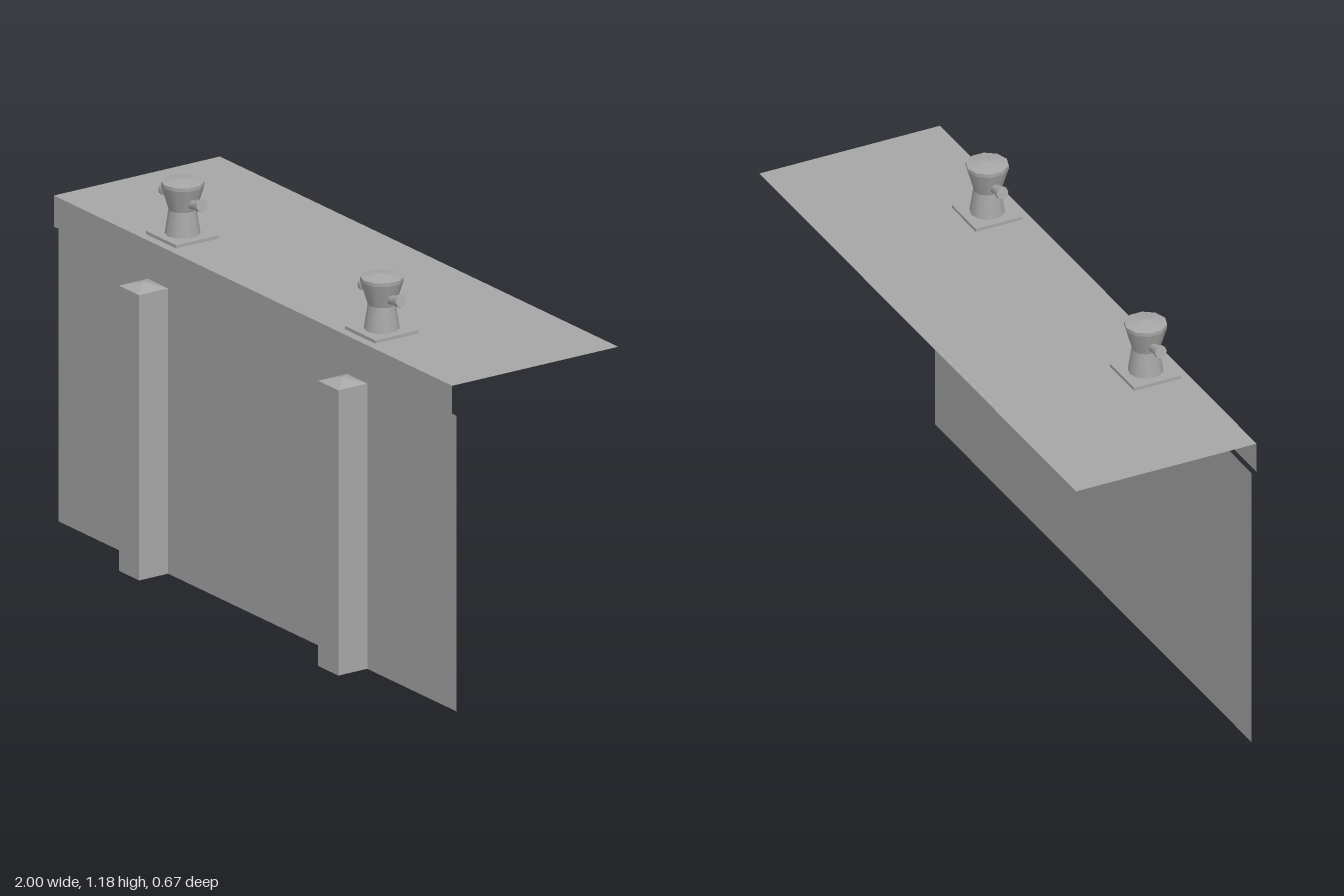
import * as THREE from 'three';

export function createModel() {
  const model = new THREE.Group();
  model.name = 'quay';
  const concrete = new THREE.MeshStandardMaterial({ color: 0xa6a6a6, side: THREE.DoubleSide });
  concrete.name = 'grey';

  function add(parent, name, geometry, x, y, z) {
    const mesh = new THREE.Mesh(geometry, concrete);
    mesh.name = name;
    mesh.position.set(x, y, z);
    parent.add(mesh);
    return mesh;
  }

  // Open sheets: deck, its front lip, and the wall set slightly back
  add(model, 'deck', new THREE.PlaneGeometry(2, 0.585).rotateX(-Math.PI / 2), 0, 1, -0.0425);
  add(model, 'deckLip', new THREE.PlaneGeometry(2, 0.095), 0, 0.9525, 0.25);
  add(model, 'wall', new THREE.PlaneGeometry(2, 0.905), 0, 0.4525, 0.234);

  // Square fender post, open underneath, with a low pyramid cap
  function fenderPost(x) {
    const post = new THREE.Group();
    post.name = 'fenderPost';
    post.position.set(x, 0, 0.285);
    const r = 0.051 * Math.SQRT2;
    const square = (top, bottom, h) =>
      new THREE.CylinderGeometry(top, bottom, h, 4, 1, true).rotateY(Math.PI / 4).toNonIndexed();
    const shaft = square(r, r, 0.873);
    const cap = square(0, r, 0.017);
    shaft.computeVertexNormals();
    cap.computeVertexNormals();
    add(post, 'postShaft', shaft, 0, 0.4365, 0);
    add(post, 'postCap', cap, 0, 0.8815, 0);
    model.add(post);
  }

  // Mooring bollard: plate, flared body, domed cap and two raised horns
  function bollard(x) {
    const group = new THREE.Group();
    group.name = 'bollard';
    group.position.set(x, 1, 0.147);
    add(group, 'basePlate', new THREE.BoxGeometry(0.152, 0.01, 0.152), 0, 0.005, 0);
    const sections = [[0.052, 0.01], [0.041, 0.085], [0.063, 0.157], [0.063, 0.168]];
    for (let i = 0; i < sections.length - 1; i++) {
      const [r0, y0] = sections[i], [r1, y1] = sections[i + 1];
      add(group, 'bollardBody', new THREE.CylinderGeometry(r1, r0, y1 - y0, 10, 1, true), 0, (y0 + y1) / 2, 0);
    }
    add(group, 'bollardCap', new THREE.ConeGeometry(0.063, 0.011, 10, 1, true), 0, 0.1735, 0);
    for (const side of [1, -1]) {
      const horn = new THREE.Group();
      horn.name = 'horn';
      horn.position.set(side * 0.03, 0.107, 0);
      horn.rotation.z = -side * (Math.PI / 2 - 0.2);
      add(horn, 'hornShaft', new THREE.CylinderGeometry(0.014, 0.014, 0.055, 8), 0, 0.0275, 0);
      add(horn, 'hornEnd', new THREE.CylinderGeometry(0.019, 0.019, 0.014, 8), 0, 0.061, 0);
      group.add(horn);
    }
    model.add(group);
  }

  for (const x of [-0.5, 0.5]) {
    fenderPost(x);
    bollard(x);
  }
  return model;
}
